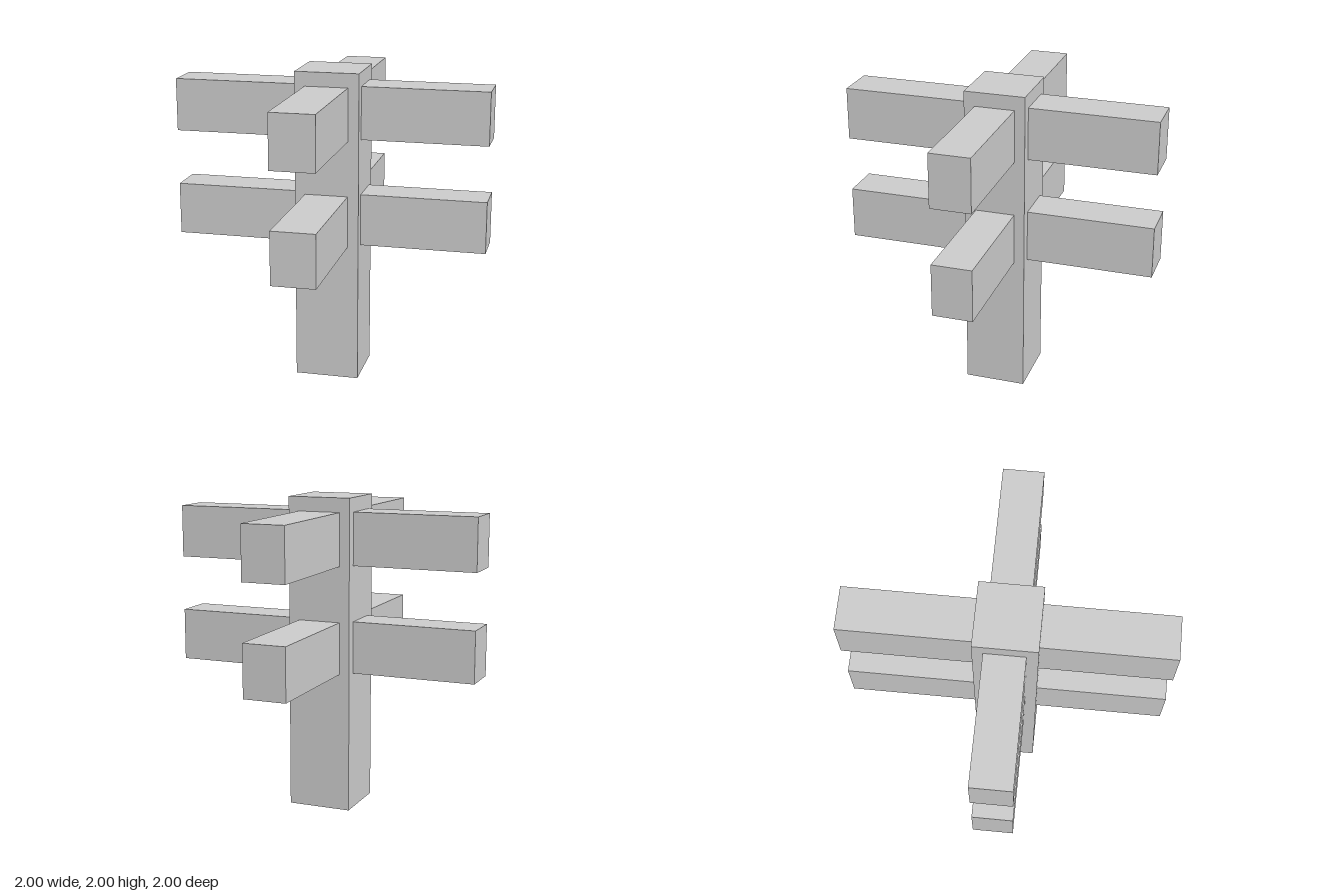
import * as THREE from 'three';

export function createModel() {
  const group = new THREE.Group();
  const material = new THREE.MeshStandardMaterial({ color: 0xcccccc, flatShading: true });

  function addBox(name, [w, h, d], [x, y, z]) {
    const mesh = new THREE.Mesh(new THREE.BoxGeometry(w, h, d), material);
    mesh.name = name;
    mesh.position.set(x, y, z);
    group.add(mesh);
  }

  // Upright post
  const postW = 0.408, postD = 0.388;
  addBox('post', [postW, 2, postD], [0, 1, 0]);

  // Two tiers of four arms, each running from a post face out to 1
  const tiers = [
    { name: 'lower', bottom: 0.89, top: 1.222 },
    { name: 'upper', bottom: 1.575, top: 1.91 },
  ];
  for (const { name, bottom, top } of tiers) {
    const h = top - bottom, y = (top + bottom) / 2;
    const sideLength = 1 - postW / 2, frontLength = 1 - postD / 2;
    for (const s of [1, -1]) {
      addBox(`${name}${s > 0 ? 'Left' : 'Right'}Arm`, [sideLength, h, 0.252], [s * (1 - sideLength / 2), y, -0.002]);
      addBox(`${name}${s > 0 ? 'Front' : 'Back'}Arm`, [0.274, h, frontLength], [-0.002, y, s * (1 - frontLength / 2)]);
    }
  }
  return group;
}
